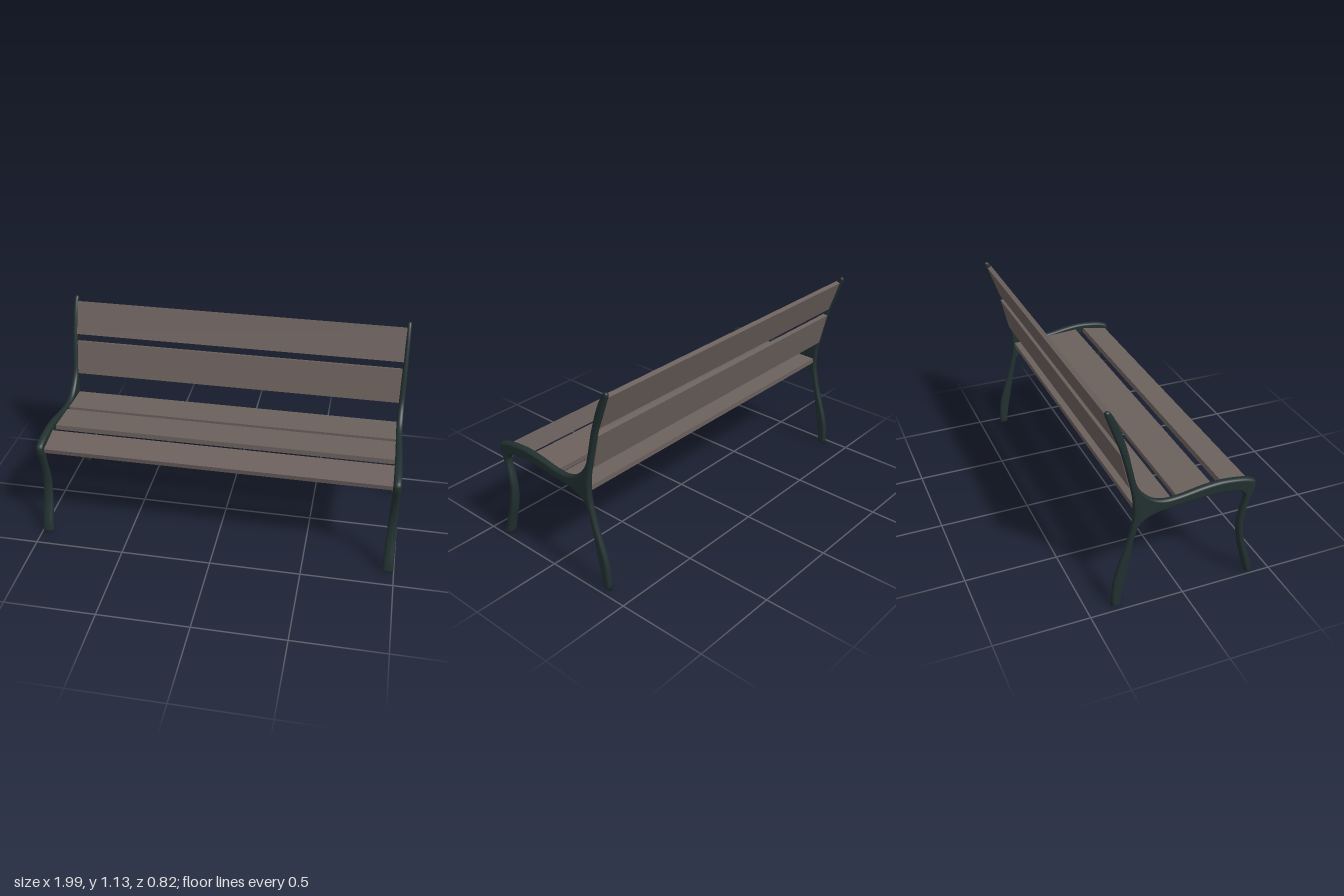
import * as THREE from 'three';
import { mergeVertices } from 'three/addons/utils/BufferGeometryUtils.js';

const iron = new THREE.MeshStandardMaterial({ color: 0x223030 });
iron.name = 'dark green iron';
const wood = new THREE.MeshStandardMaterial({ color: 0x6b605c });
wood.name = 'weathered brown wood';

const v = (pairs) => pairs.map(([z, y]) => new THREE.Vector2(z, y));

// Side outline of the cast frame as (z, y)
const overTop = v([
  [0.408, 0.005], [0.398, 0.06], [0.372, 0.14], [0.352, 0.21], [0.338, 0.3], [0.348, 0.4], [0.37, 0.48],
  [0.388, 0.53], [0.387, 0.57], [0.36, 0.587], [0.3, 0.601], [0.2, 0.61], [0.1, 0.602], [0, 0.585],
  [-0.07, 0.578], [-0.12, 0.583], [-0.17, 0.604], [-0.217, 0.648], [-0.248, 0.7], [-0.268, 0.78],
  [-0.295, 0.9], [-0.332, 1.02], [-0.358, 1.08], [-0.382, 1.12], [-0.4, 1.124], [-0.407, 1.108],
  [-0.39, 1.06], [-0.365, 0.99], [-0.332, 0.9], [-0.306, 0.8], [-0.283, 0.7], [-0.267, 0.62],
  [-0.263, 0.52], [-0.275, 0.45], [-0.3, 0.35], [-0.34, 0.23], [-0.366, 0.13], [-0.375, 0],
]);
const underSeat = v([
  [-0.327, 0], [-0.318, 0.08], [-0.295, 0.2], [-0.268, 0.34], [-0.247, 0.43], [-0.23, 0.465],
  [-0.19, 0.495], [-0.12, 0.518], [0, 0.53], [0.1, 0.54], [0.2, 0.543], [0.29, 0.53], [0.325, 0.505],
  [0.332, 0.47], [0.312, 0.38], [0.305, 0.3], [0.318, 0.2], [0.345, 0.1], [0.369, 0.005],
]);

// Half thickness of the casting: widest at the front foot, thinnest at the top
function halfThickness(z, y) {
  const { lerp, smoothstep } = THREE.MathUtils;
  const front = lerp(0.03, 0.02, Math.min(y / 0.5, 1));
  const back = lerp(0.017, 0.0125, smoothstep(y, 0.6, 1.1));
  return lerp(back, front, smoothstep(z, -0.2, 0.35));
}

function frame(side) {
  const shape = new THREE.Shape();
  shape.moveTo(overTop[0].x, overTop[0].y);
  shape.splineThru(overTop.slice(1));
  shape.lineTo(underSeat[0].x, underSeat[0].y);
  shape.splineThru(underSeat.slice(1));
  shape.closePath();
  const extruded = new THREE.ExtrudeGeometry(shape, {
    depth: 0.2, bevelThickness: 0.9, bevelSize: 0.013, bevelOffset: -0.013, bevelSegments: 5, curveSegments: 3,
  });
  extruded.deleteAttribute('normal');
  extruded.deleteAttribute('uv');
  const geometry = mergeVertices(extruded, 1e-5);
  // Stand the outline in the side plane, taper it and splay it outward to the front
  const p = geometry.attributes.position;
  for (let i = 0; i < p.count; i++) {
    const z = p.getX(i), y = p.getY(i), u = p.getZ(i) - 0.1;
    const centre = 0.961 + 0.015 * z;
    p.setXYZ(i, side * centre - u * halfThickness(z, y), y, z);
  }
  geometry.computeVertexNormals();
  const mesh = new THREE.Mesh(geometry, iron);
  mesh.name = side > 0 ? 'leftFrame' : 'rightFrame';
  return mesh;
}

// Plank whose section runs from (z0, y0) to (z1, y1)
function slat(name, z0, y0, z1, y1, thickness) {
  const mesh = new THREE.Mesh(new THREE.BoxGeometry(1.89, thickness, Math.hypot(z1 - z0, y1 - y0)), wood);
  mesh.position.set(0, (y0 + y1) / 2, (z0 + z1) / 2);
  mesh.rotation.x = -Math.atan2(y1 - y0, z1 - z0);
  mesh.name = name;
  return mesh;
}

export function createModel() {
  const bench = new THREE.Group();
  bench.name = 'bench';
  bench.add(frame(1), frame(-1));
  bench.add(
    slat('frontSeatSlat', 0.215, 0.568, 0.367, 0.54, 0.028),
    slat('middleSeatSlat', -0.03, 0.557, 0.165, 0.568, 0.028),
    slat('rearSeatSlat', -0.25, 0.55, -0.06, 0.553, 0.028),
    slat('lowerBackSlat', -0.312, 0.873, -0.268, 0.683, 0.025),
    slat('upperBackSlat', -0.38, 1.095, -0.318, 0.915, 0.025),
  );
  return bench;
}
